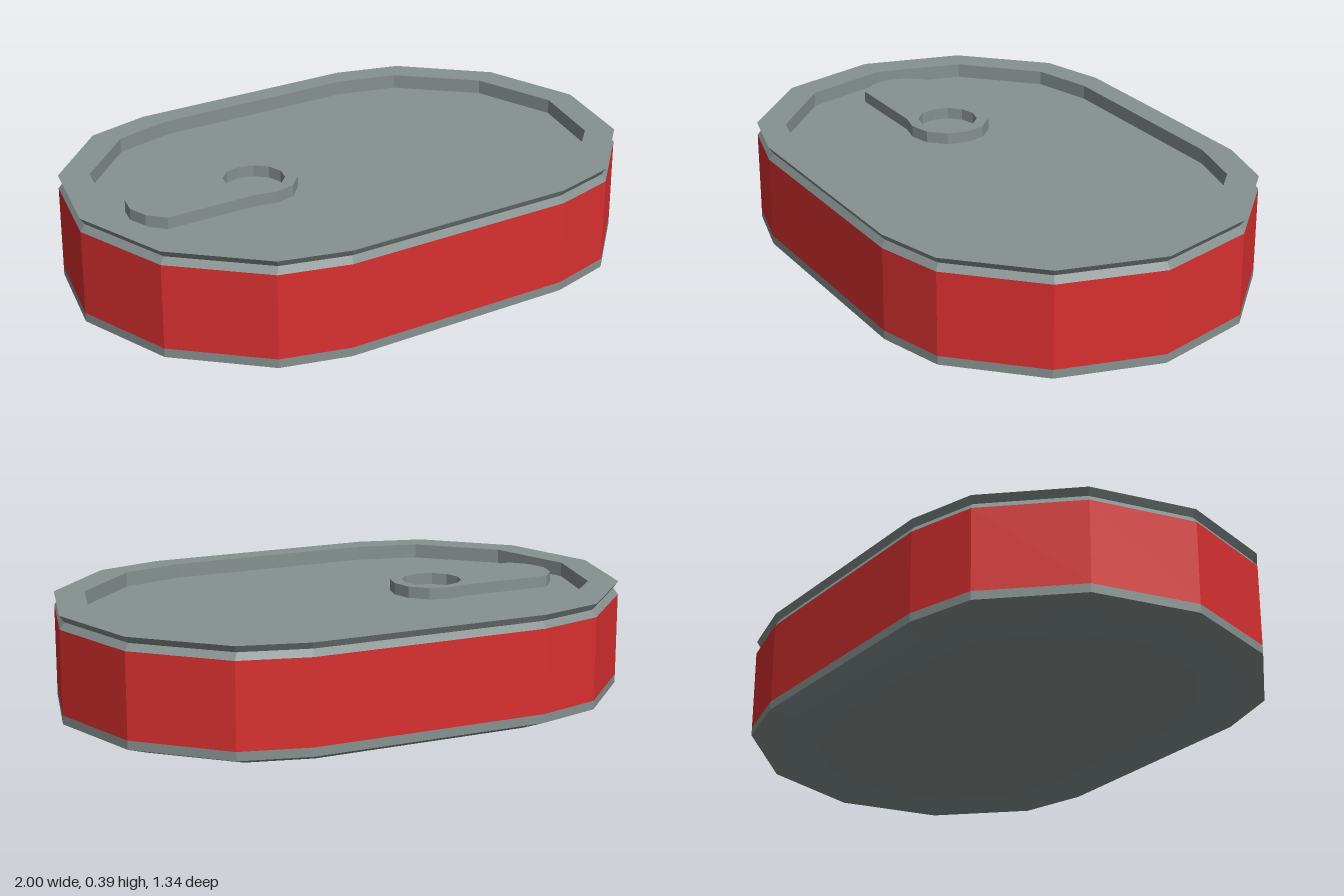
import * as THREE from 'three';

// Quarter of the outline at the wall and at the inner edge of the rim
const OUTER = [[1, 0], [0.905, 0.353], [0.647, 0.61], [0.415, 0.672]];
const INNER = [[0.897, 0], [0.812, 0.305], [0.58, 0.53], [0.367, 0.586]];

// Full 14-sided outline; inset 0 is the wall, 1 the rim's inner edge, null the centre
function ring(inset, y) {
  const q = OUTER.map(([x, z], i) => inset === null ? [0, 0]
    : [x + (INNER[i][0] - x) * inset, z + (INNER[i][1] - z) * inset]);
  const half = [...q, ...q.slice(1).reverse().map(([x, z]) => [-x, z])];
  const all = [...half, [-q[0][0], 0], ...half.slice(1).reverse().map(([x, z]) => [x, -z])];
  return all.map(([x, z]) => new THREE.Vector3(x, y, z));
}

// Faceted skin through a list of [inset, height] rings, outside facing out
function shell(name, profile, material) {
  const pos = [];
  const rings = profile.map(([inset, y]) => ring(inset, y));
  const tri = (...pts) => pts.forEach((p) => pos.push(p.x, p.y, p.z));
  for (let r = 0; r < rings.length - 1; r++) {
    const lo = rings[r], hi = rings[r + 1], n = lo.length;
    for (let i = 0; i < n; i++) {
      const j = (i + 1) % n;
      if (profile[r + 1][0] !== null) tri(lo[i], hi[i], hi[j]);
      if (profile[r][0] !== null) tri(lo[i], hi[j], lo[j]);
    }
  }
  const geo = new THREE.BufferGeometry();
  geo.setAttribute('position', new THREE.Float32BufferAttribute(pos, 3));
  geo.computeVertexNormals();
  const mesh = new THREE.Mesh(geo, material);
  mesh.name = name;
  return mesh;
}

export function createModel() {
  const group = new THREE.Group();
  group.name = 'tin';
  const metal = new THREE.MeshStandardMaterial({ name: 'greyMetal', color: 0x869190, flatShading: true });
  const red = new THREE.MeshStandardMaterial({ name: 'redLabel', color: 0xd93030, flatShading: true });

  // Base with bevelled foot and slightly recessed underside
  group.add(shell('base', [[null, 0.01], [2.2, 0.01], [0.8, 0], [0, 0.03], [0, 0.06]], metal));
  // Painted side wall
  group.add(shell('label', [[0, 0.06], [0, 0.347]], red));
  // Neck, flared rim and sunken lid
  group.add(shell('lid', [[0, 0.347], [0.16, 0.37], [0, 0.393], [1, 0.393], [1, 0.343], [null, 0.343]], metal));

  // Pull tab: rounded handle joined to a ring with a finger hole
  const side = [[-0.215, 0], [-0.232, 0.07], [-0.285, 0.125], [-0.36, 0.143],
    [-0.43, 0.127], [-0.755, 0.127], [-0.805, 0.07], [-0.823, 0]];
  const outline = [...side, ...side.slice(1, -1).reverse().map(([x, z]) => [x, -z])];
  const shape = new THREE.Shape(outline.map(([x, z]) => new THREE.Vector2(x, z)));
  const hole = Array.from({ length: 12 }, (_, i) => {
    const a = -i * Math.PI / 6;
    return new THREE.Vector2(-0.36 + 0.104 * Math.cos(a), 0.104 * Math.sin(a));
  });
  shape.holes.push(new THREE.Path(hole));
  const tabGeo = new THREE.ExtrudeGeometry(shape, { depth: 0.04, bevelEnabled: false });
  tabGeo.rotateX(-Math.PI / 2);
  const tab = new THREE.Mesh(tabGeo, metal);
  tab.name = 'pullTab';
  tab.position.y = 0.343;
  group.add(tab);

  return group;
}
